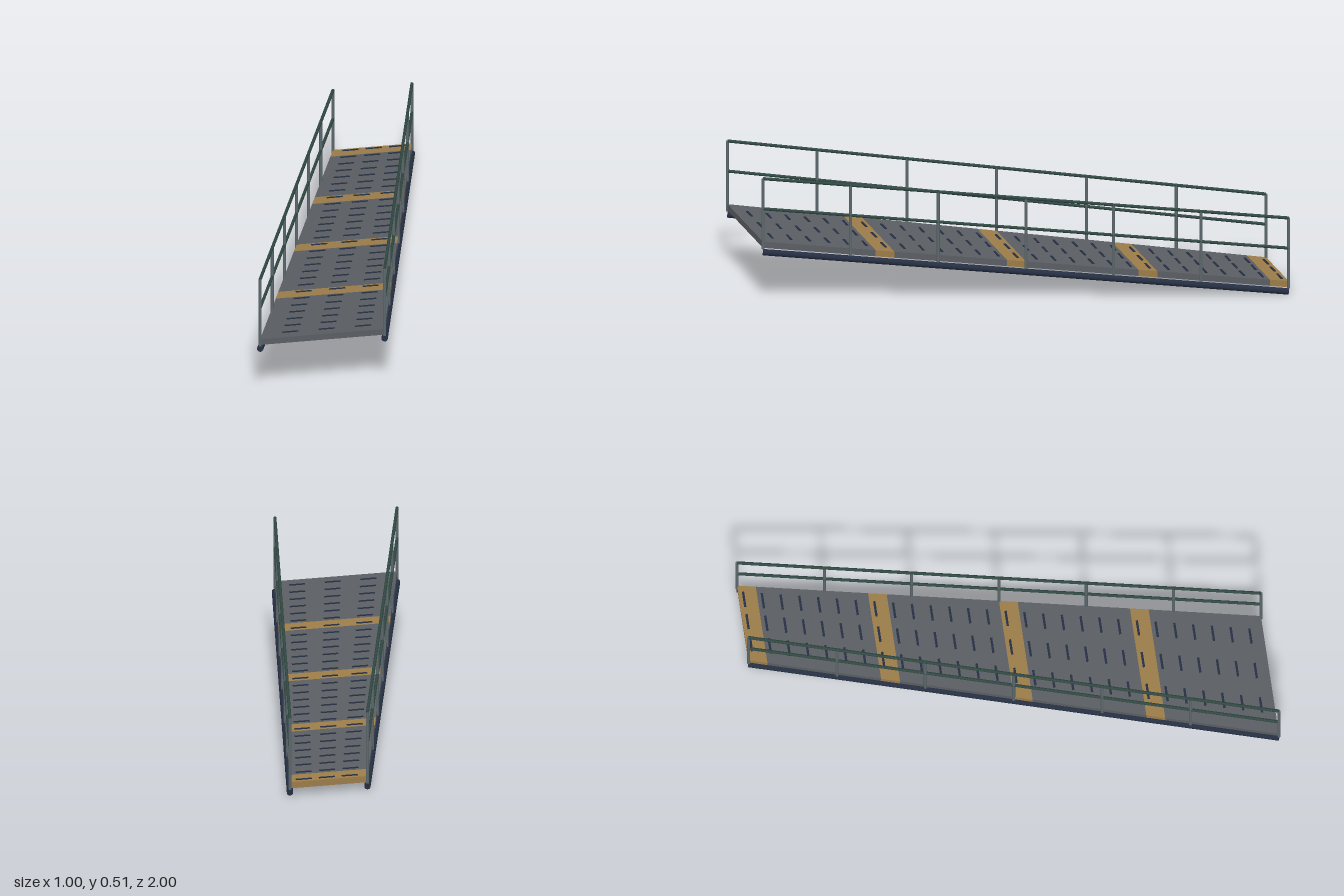
import * as THREE from 'three';
import { mergeGeometries } from 'three/addons/utils/BufferGeometryUtils.js';

const END = 0.993;                       // half length along z
const lerp = THREE.MathUtils.lerp;
const along = z => (z + END) / (2 * END); // 0 at the low back end, 1 at the high front end
const rightEdge = z => lerp(0.176, -0.488, along(z));
const leftEdge = z => lerp(0.488, 0.004, along(z));
const slope = z => lerp(0, 0.192, along(z)); // rise of the ramp

const mat = (name, color) => {
  const m = new THREE.MeshStandardMaterial({ color });
  m.name = name;
  return m;
};

// Straight round bar between two points
function bar(a, b, radius, sides) {
  const d = b.clone().sub(a);
  const g = new THREE.CylinderGeometry(radius, radius, d.length(), sides);
  g.applyQuaternion(new THREE.Quaternion().setFromUnitVectors(new THREE.Vector3(0, 1, 0), d.normalize()));
  const c = a.clone().add(b).multiplyScalar(0.5);
  return g.translate(c.x, c.y, c.z);
}

// Box bent to the tapering, sloping outline of the deck
function deckSpan(z0, z1) {
  const g = new THREE.BoxGeometry(1, 1, 1);
  const p = g.attributes.position;
  for (let i = 0; i < p.count; i++) {
    const z = lerp(z0, z1, p.getZ(i) + 0.5);
    const x = lerp(rightEdge(z), leftEdge(z), p.getX(i) + 0.5);
    p.setXYZ(i, x, slope(z) + lerp(0.03, 0.055, p.getY(i) + 0.5), z);
  }
  g.computeVertexNormals();
  return g;
}

export function createModel() {
  const group = new THREE.Group();
  group.name = 'gangway';
  const deckGrey = mat('deck grey', 0x5a5e62);
  const bandOchre = mat('band ochre', 0x9b7c49);
  const navy = mat('dark navy', 0x252f42);
  const postGrey = mat('post grey', 0x5d696d);
  const railGreen = mat('rail dark green', 0x314842);

  const add = (name, geometry, material) => {
    const mesh = new THREE.Mesh(geometry, material);
    mesh.name = name;
    group.add(mesh);
  };

  // Deck: four repeats of one ochre strip followed by six grey strips
  const pitch = 2 * END / 28;
  for (let k = 0; k < 4; k++) {
    const z = -END + k * 7 * pitch;
    add('warningBand', deckSpan(z, z + pitch), bandOchre);
    add('deckPanel', deckSpan(z + pitch, z + 7 * pitch), deckGrey);
  }

  // Grip marks: three short slats in each row
  const tilt = Math.atan2(0.192, 2 * END);
  const slats = [];
  for (let i = 0; i < 28; i++) {
    const z = -END + (i + 0.27) * pitch;
    for (const f of [0.23, 0.525, 0.82]) {
      slats.push(new THREE.BoxGeometry(0.063, 0.004, 0.009).rotateX(-tilt)
        .translate(lerp(rightEdge(z), leftEdge(z), f), slope(z) + 0.0555, z));
    }
  }
  add('gripSlats', mergeGeometries(slats), navy);

  // Each side: lower beam, two handrails and seven posts
  for (const [side, edge] of [['right', rightEdge], ['left', leftEdge]]) {
    const at = (z, y) => new THREE.Vector3(edge(z), slope(z) + y, z);
    add(side + 'Beam', bar(at(-END, 0.0128), at(END, 0.0128), 0.0125, 12), navy);
    add(side + 'TopRail', bar(at(-END, 0.313), at(END, 0.313), 0.0062, 8), railGreen);
    add(side + 'MiddleRail', bar(at(-END, 0.19), at(END, 0.19), 0.006, 8), railGreen);
    const posts = [];
    for (let i = 0; i < 7; i++) {
      const z = lerp(-END, END, i / 6);
      posts.push(bar(at(z, 0.026), at(z, 0.313), 0.0062, 8));
    }
    add(side + 'Posts', mergeGeometries(posts), postGrey);
  }
  return group;
}
